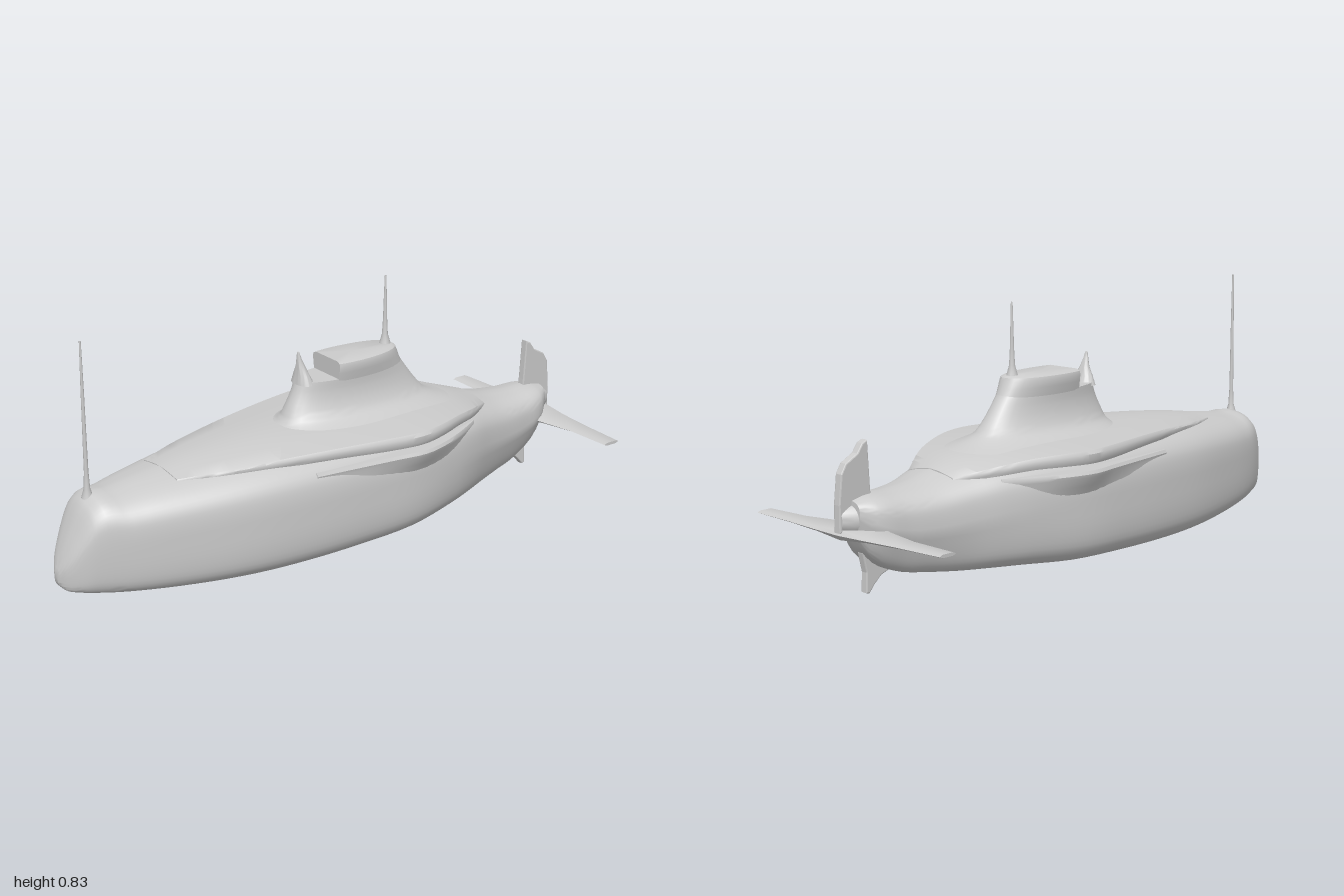
import * as THREE from 'three';
import { toCreasedNormals } from 'three/addons/utils/BufferGeometryUtils.js';

const material = new THREE.MeshStandardMaterial({ color: 0xcccccc });

// Skins closed rings of [x, y, z] points and caps both ends.
function loft(rings, crease = 0.7) {
  const n = rings[0].length;
  const pos = rings.flat();
  const index = [];
  for (let i = 0; i < rings.length - 1; i++) {
    for (let j = 0; j < n; j++) {
      const a = i * n + j, b = i * n + (j + 1) % n;
      index.push(a, b, a + n, b, b + n, a + n);
    }
  }
  [0, rings.length - 1].forEach((r, end) => {
    const c = pos.length;
    pos.push([0, 1, 2].map(k => rings[r].reduce((s, p) => s + p[k], 0) / n));
    for (let j = 0; j < n; j++) {
      const a = r * n + j, b = r * n + (j + 1) % n;
      if (end) index.push(c, a, b); else index.push(c, b, a);
    }
  });
  // Turn the faces outward if the enclosed volume is negative.
  let volume = 0;
  const v = i => new THREE.Vector3(...pos[i]);
  for (let i = 0; i < index.length; i += 3) {
    volume += v(index[i]).dot(v(index[i + 1]).cross(v(index[i + 2])));
  }
  if (volume < 0) index.reverse();
  const g = new THREE.BufferGeometry();
  g.setAttribute('position', new THREE.Float32BufferAttribute(pos.flat(), 3));
  g.setIndex(index);
  return toCreasedNormals(g, crease);
}

// Smoothly resamples rows of [key, ...values], keys rising.
function resample(rows, steps) {
  const stride = rows[0].length - 1;
  const curve = new THREE.CubicInterpolant(
    rows.map(r => r[0]), rows.flatMap(r => r.slice(1)), stride, new Float32Array(stride));
  const out = [];
  for (let i = 0; i < rows.length - 1; i++) {
    for (let s = 0; s < steps; s++) {
      const t = THREE.MathUtils.lerp(rows[i][0], rows[i + 1][0], s / steps);
      out.push([t, ...curve.evaluate(t)]);
    }
  }
  out.push(rows[rows.length - 1]);
  return out;
}

// Completes a right-left symmetric ring from its +x half, bottom to top.
const mirrorRing = half => [
  ...half,
  ...half.filter(p => p[0] > 1e-6).reverse().map(([x, y, z]) => [-x, y, z]),
];

function hullGeometry() {
  // z, keel y, top y, half width, keel fullness
  const stations = [
    [-0.95, 0.21, 0.31, 0.05, 0.7], [-0.9, 0.13, 0.32, 0.09, 0.6], [-0.8, 0.07, 0.32, 0.115, 0.65],
    [-0.7, 0.05, 0.33, 0.14, 0.72], [-0.6, 0.038, 0.355, 0.172, 0.8], [-0.5, 0.033, 0.38, 0.21, 0.88],
    [-0.4, 0.028, 0.392, 0.24, 0.94], [-0.2, 0.012, 0.4, 0.275, 1], [0, 0.005, 0.402, 0.28, 1],
    [0.2, 0.001, 0.4, 0.272, 1], [0.4, 0.002, 0.39, 0.25, 1], [0.6, 0.01, 0.37, 0.207, 1],
    [0.8, 0.025, 0.345, 0.15, 0.98], [0.9, 0.036, 0.328, 0.108, 0.95], [0.95, 0.045, 0.235, 0.077, 0.95],
    [0.985, 0.055, 0.155, 0.042, 0.9], [1, 0.075, 0.115, 0.012, 0.9],
  ];
  const section = new THREE.CatmullRomCurve3([
    [0, 0], [0.55, 0.008], [0.82, 0.04], [0.95, 0.13], [0.995, 0.27], [1, 0.5], [0.99, 0.66],
    [0.95, 0.77], [0.83, 0.865], [0.55, 0.95], [0, 1],
  ].map(([x, y]) => new THREE.Vector3(x, y, 0))).getPoints(30);
  return loft(resample(stations, 4).map(([z, y0, y1, w, k]) => mirrorRing(section.map(p => [
    Math.max(0, p.x * w * THREE.MathUtils.lerp(k, 1, Math.min(1, p.y * 2))),
    y0 + p.y * (y1 - y0), z,
  ]))));
}

function deckGeometry() {
  // z, half width, edge top y, centre y, edge thickness
  const rows = [
    [-0.62, 0.1, 0.335, 0.352, 0.015], [-0.5, 0.185, 0.365, 0.384, 0.03], [-0.4, 0.235, 0.38, 0.397, 0.035],
    [-0.3, 0.277, 0.386, 0.404, 0.04], [-0.2, 0.3, 0.387, 0.407, 0.042], [-0.1, 0.289, 0.387, 0.407, 0.042],
    [0.1, 0.25, 0.385, 0.406, 0.035], [0.3, 0.203, 0.378, 0.4, 0.028], [0.5, 0.148, 0.366, 0.384, 0.02],
    [0.62, 0.1, 0.357, 0.368, 0.015],
  ];
  return loft(resample(rows, 4).map(([z, w, e, c, t]) => mirrorRing([
    [0, e - t, z], [w * 0.98, e - t, z], [w, e - t * 0.7, z], [w, e - t * 0.25, z], [w * 0.97, e, z],
    [w * 0.6, e + (c - e) * 0.55, z], [w * 0.3, e + (c - e) * 0.88, z], [0, c, z],
  ])));
}

function sideLedgeGeometry() {
  // z, half width of the upper lip, half width of the foot
  const rows = [
    [-0.5, 0.19, 0.17], [-0.4, 0.243, 0.22], [-0.3, 0.285, 0.25], [-0.2, 0.307, 0.265],
    [-0.1, 0.295, 0.268], [0.05, 0.276, 0.266], [0.2, 0.258, 0.25],
  ];
  return loft(resample(rows, 3).map(([z, w, f]) => mirrorRing([
    [0, 0.23, z], [f, 0.23, z], [(w + f) / 2, 0.275, z], [w * 0.99, 0.305, z], [w, 0.315, z],
    [w * 0.98, 0.325, z], [0, 0.335, z],
  ])));
}

// Rounded, slightly pointed horizontal ring for the tower.
function towerRing([y, w, front, back]) {
  return Array.from({ length: 40 }, (_, i) => {
    const a = i / 40 * Math.PI * 2;
    const c = Math.cos(a), s = Math.sin(a);
    return [w * Math.sign(c) * Math.abs(c) ** 0.85, y, (front + back) / 2 + s * (front - back) / 2];
  });
}

function finGeometry(points, depth) {
  // Points are [z, y]; the plate is centred on x = 0.
  const g = new THREE.ExtrudeGeometry(
    new THREE.Shape(points.map(([z, y]) => new THREE.Vector2(-z, y))),
    { depth: depth - 0.008, bevelSize: 0.004, bevelThickness: 0.004, bevelSegments: 2 });
  g.translate(0, 0, -(depth - 0.008) / 2);
  return g.rotateY(Math.PI / 2);
}

export function createModel() {
  const model = new THREE.Group();
  const add = (name, geometry, x = 0, y = 0, z = 0) => {
    const mesh = new THREE.Mesh(geometry, material);
    mesh.name = name;
    mesh.position.set(x, y, z);
    model.add(mesh);
    return mesh;
  };

  add('hull', hullGeometry());
  add('deck', deckGeometry());
  add('sideLedge', sideLedgeGeometry());

  // Tower with a flared foot: y, half width, front z, back z
  add('tower', loft(resample([
    [0.385, 0.2, 0.2, -0.5], [0.4, 0.155, 0.175, -0.455], [0.42, 0.115, 0.155, -0.415],
    [0.45, 0.092, 0.14, -0.385], [0.5, 0.077, 0.115, -0.345], [0.54, 0.075, 0.1, -0.315],
  ], 3).map(towerRing)));

  // Raised rear roof, cut off flat behind the open bridge
  add('towerRoof', loft([
    [0.53, 0.075, 0.1, -0.32], [0.56, 0.08, 0.095, -0.305], [0.582, 0.083, 0.09, -0.295],
    [0.593, 0.08, 0.09, -0.29], [0.599, 0.065, 0.08, -0.28],
  ].map(r => towerRing(r).map(([x, y, z]) => [x, y, Math.min(z, -0.02)])), 0.6));

  // Bridge screen rising to a point at the front of the tower
  add('bridgeScreen', loft([
    [0.53, 0.048, 0.105, 0.045], [0.56, 0.034, 0.1, 0.06], [0.59, 0.016, 0.098, 0.07],
    [0.615, 0.009, 0.097, 0.082], [0.637, 0.004, 0.096, 0.089],
  ].map(towerRing)));

  // Masts with flared feet
  const mast = (name, z, bottom, top) => add(name, new THREE.LatheGeometry([
    [0.024, -0.02], [0.018, 0.008], [0.01, 0.035], [0.007, 0.09], [0.005, (top - bottom) * 0.7],
    [0.003, top - bottom], [0, top - bottom],
  ].map(p => new THREE.Vector2(...p)), 12), 0, bottom, z);
  mast('bowMast', 0.88, 0.325, 0.832);
  mast('towerMast', -0.26, 0.595, 0.832);

  // Stern fins
  add('upperRudder', finGeometry([
    [-0.87, 0.21], [-0.88, 0.34], [-0.887, 0.476], [-0.9, 0.47], [-0.92, 0.442], [-0.965, 0.418],
    [-0.982, 0.39], [-0.992, 0.3], [-0.992, 0.22],
  ], 0.028));
  add('lowerRudder', finGeometry([
    [-0.77, 0.09], [-0.84, 0.065], [-0.868, 0.04], [-0.887, 0.018], [-0.893, 0.02], [-0.891, 0.08],
    [-0.905, 0.14], [-0.91, 0.22], [-0.8, 0.22],
  ], 0.026));

  // Stern planes, one tapered plate from tip to tip
  const planeRows = [
    [-0.405, -0.905, -0.97, 0.005], [-0.24, -0.9, -0.978, 0.006], [-0.11, -0.875, -0.99, 0.008],
    [0, -0.84, -0.998, 0.016],
  ];
  const mirrored = planeRows.slice(0, 3).reverse().map(([x, ...r]) => [-x, ...r]);
  add('sternPlanes', loft([...planeRows, ...mirrored].map(([x, f, b, t]) => [
    [x, 0.21, f], [x, 0.21 + t, f - 0.012], [x, 0.21 + t, b + 0.012],
    [x, 0.21, b], [x, 0.21 - t, b + 0.012], [x, 0.21 - t, f - 0.012],
  ])));

  // Stern fairing between the hull end and the rudder
  add('sternFairing', loft([
    [-0.86, 0.08, 0.1], [-0.92, 0.065, 0.08], [-0.96, 0.04, 0.062], [-0.99, 0.018, 0.045],
  ].map(([z, w, h]) => Array.from({ length: 20 }, (_, i) => {
    const a = i / 20 * Math.PI * 2;
    return [w * Math.cos(a), 0.25 + h * 0.7 * Math.sin(a), z];
  }))));

  return model;
}
